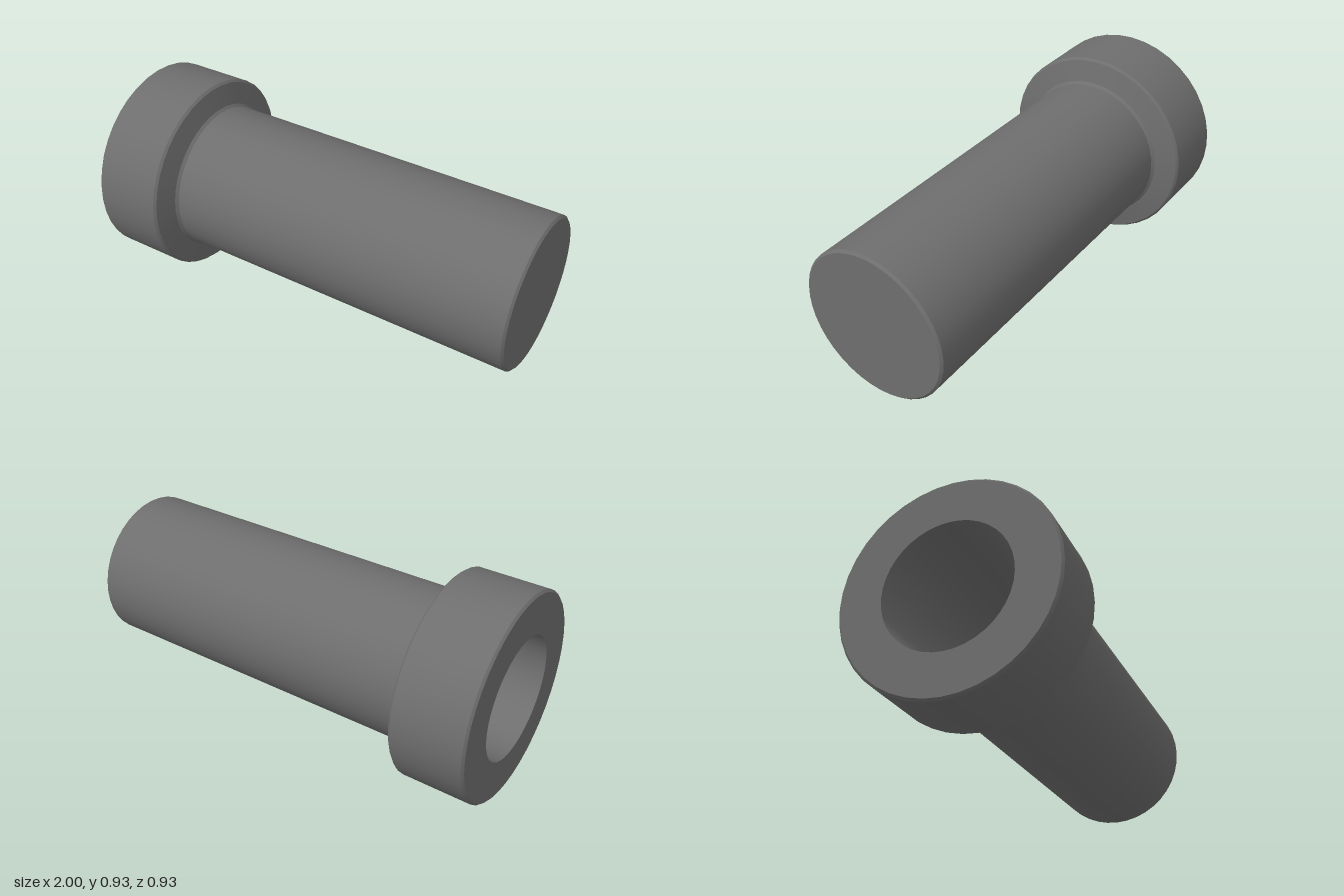
import * as THREE from 'three';
import { toCreasedNormals } from 'three/addons/utils/BufferGeometryUtils.js';

const SEGMENTS = 40;
const HEAD_R = 0.467, SHAFT_R = 0.345, BORE_R = 0.277;

export function createModel() {
  const group = new THREE.Group();
  group.name = 'flangedSleeve';
  const material = new THREE.MeshStandardMaterial({ color: 0x6e6e6e });

  // Turns a profile of [x along the axis, radius] pairs around the x axis
  const addTurned = (name, profile) => {
    const points = profile.map(([x, r]) => new THREE.Vector2(r, x));
    const lathe = new THREE.LatheGeometry(points, SEGMENTS).rotateZ(-Math.PI / 2);
    const mesh = new THREE.Mesh(toCreasedNormals(lathe, Math.PI / 9), material);
    mesh.name = name;
    mesh.position.y = HEAD_R;
    group.add(mesh);
  };

  // Blind bore, open at the head end
  addTurned('bore', [[0.93, 0], [0.93, BORE_R], [-1, BORE_R]]);

  // Head with small edge bevels and a sloping shoulder
  addTurned('head', [
    [-1, BORE_R], [-1, 0.457], [-0.99, HEAD_R], [-0.675, HEAD_R],
    [-0.664, 0.457], [-0.64, 0.357],
  ]);

  // Shaft with a bevelled root and a closed, bevelled end
  addTurned('shaft', [
    [-0.64, 0.357], [-0.628, SHAFT_R],
    [0.99, SHAFT_R], [1, 0.334], [1, 0],
  ]);

  return group;
}
